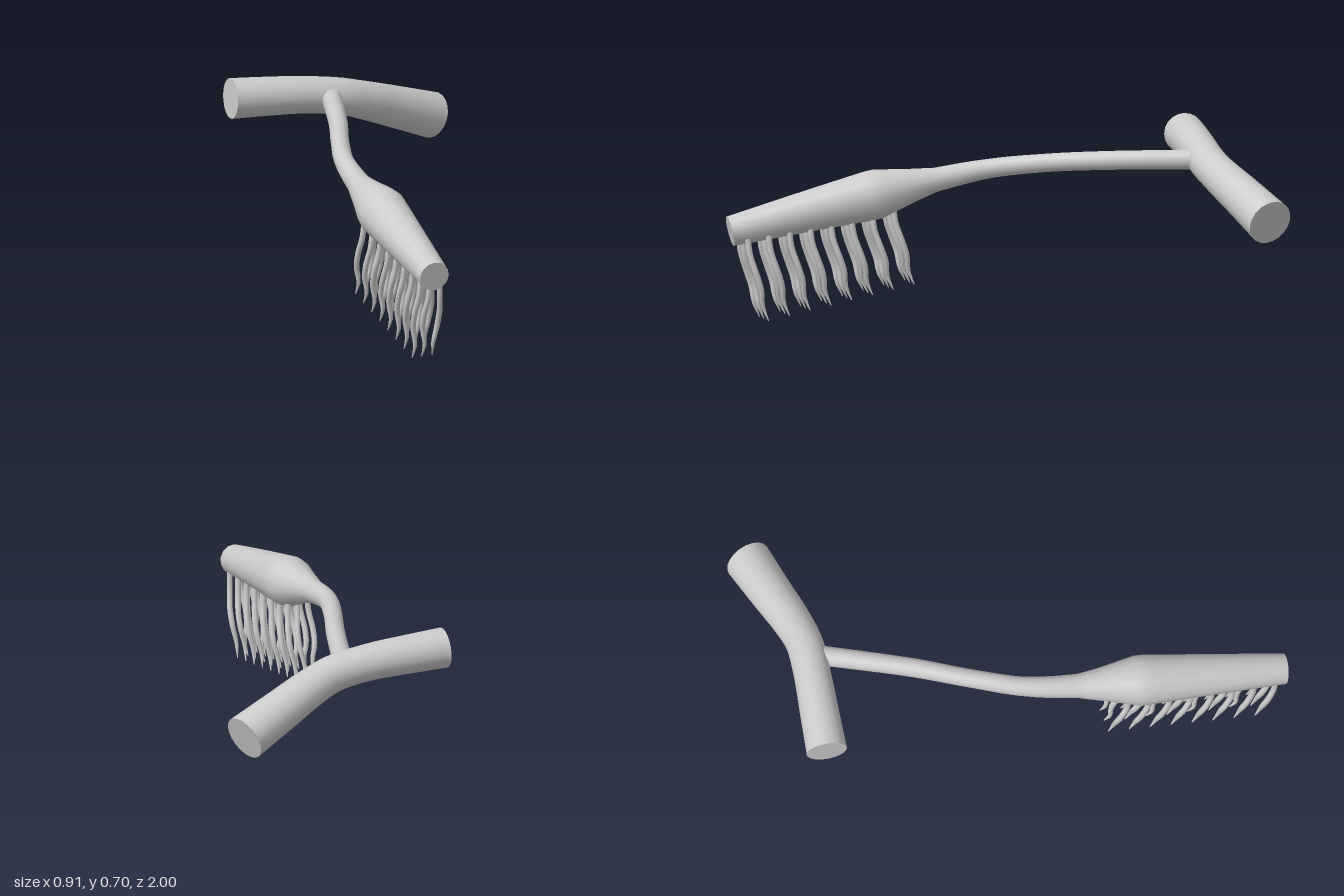
import * as THREE from 'three';
import { mergeVertices } from 'three/addons/utils/BufferGeometryUtils.js';

const grey = new THREE.MeshStandardMaterial({ color: 0xcccccc });
grey.name = 'plainGrey';

const V = (x, y, z) => new THREE.Vector3(x, y, z);

// Tube along a smooth path whose radius follows radiusAt(u, centre), with flat end caps
function taperedTube(name, points, radiusAt, segments, sides) {
  const curve = new THREE.CatmullRomCurve3(points);
  let geo = new THREE.TubeGeometry(curve, segments, 1, sides, false);
  const pos = geo.attributes.position;
  const p = new THREE.Vector3();
  for (let i = 0; i <= segments; i++) {
    const u = i / segments, centre = curve.getPointAt(u), r = radiusAt(u, centre);
    for (let j = 0; j <= sides; j++) {
      const k = i * (sides + 1) + j;
      p.fromBufferAttribute(pos, k).sub(centre).multiplyScalar(r).add(centre);
      pos.setXYZ(k, p.x, p.y, p.z);
    }
  }
  geo.deleteAttribute('normal');
  geo.deleteAttribute('uv');
  geo = mergeVertices(geo, 1e-5);
  geo.computeVertexNormals();

  const part = new THREE.Group();
  part.name = name;
  const body = new THREE.Mesh(geo, grey);
  body.name = name + 'Body';
  part.add(body);
  for (const u of [0, 1]) {
    const centre = curve.getPointAt(u);
    const cap = new THREE.Mesh(new THREE.CircleGeometry(radiusAt(u, centre), sides), grey);
    cap.name = name + 'Cap';
    cap.position.copy(centre);
    cap.lookAt(centre.clone().addScaledVector(curve.getTangentAt(u), u ? 1 : -1));
    part.add(cap);
  }
  return part;
}

// Piecewise linear lookup in [key, value] stops
function lookup(stops, key) {
  if (key <= stops[0][0]) return stops[0][1];
  for (let i = 1; i < stops.length; i++) {
    const [a, va] = stops[i - 1], [b, vb] = stops[i];
    if (key <= b) return THREE.MathUtils.mapLinear(key, a, b, va, vb);
  }
  return stops[stops.length - 1][1];
}

export function createModel() {
  const model = new THREE.Group();
  model.name = 'combTool';

  // Bent crossbar at the back
  model.add(taperedTube('crossbar', [
    V(-0.45, 0.623, -0.783), V(-0.3, 0.618, -0.781), V(-0.15, 0.61, -0.778),
    V(0, 0.588, -0.782), V(0.1, 0.558, -0.807), V(0.25, 0.505, -0.86), V(0.421, 0.443, -0.919),
  ], (u) => lookup([[0, 0.077], [0.35, 0.07], [0.55, 0.071], [1, 0.088]], u), 30, 20));

  // Curved handle swelling into the tapering head
  const radii = [[-0.76, 0.038], [-0.2, 0.035], [0, 0.037], [0.2, 0.046], [0.3, 0.066],
    [0.43, 0.097], [0.987, 0.058]];
  model.add(taperedTube('handleAndHead', [
    V(-0.055, 0.6, -0.75), V(-0.17, 0.588, -0.4), V(-0.245, 0.573, -0.2),
    V(-0.308, 0.548, 0), V(-0.33, 0.51, 0.2), V(-0.334, 0.463, 0.43),
    V(-0.341, 0.406, 0.7), V(-0.348, 0.343, 0.987),
  ], (u, c) => lookup(radii, c.z), 56, 14));

  // Wavy bristles: rows of three along the underside of the head
  const rows = 8;
  const bristles = new THREE.Group();
  bristles.name = 'bristles';
  for (let row = 0; row < rows; row++) {
    for (let col = -1; col <= 1; col++) {
      const z = 0.945 - row * 0.08 - (col + 1) * 0.008;
      const axisY = THREE.MathUtils.mapLinear(z, 0.43, 0.987, 0.463, 0.343);
      const r = lookup(radii, z);
      const y = axisY - Math.sqrt(r * r - 0.0016 * col * col) + 0.012;
      const x = -0.345 + col * 0.042;
      const side = row % 2 ? 1 : -1;
      const height = y - 0.003 - row * 0.0165;
      // [fraction down, sideways wave, backward drift]
      const path = [[0, 0, 0], [0.2, 0.004, -0.008], [0.42, 0.012, -0.03],
        [0.62, 0.01, -0.05], [0.82, -0.002, -0.058], [1, 0.002, -0.08]]
        .map(([f, dx, dz]) => V(x + dx * (col || side), y - f * height, z + dz));
      bristles.add(taperedTube('bristle', path,
        (u) => lookup([[0, 0.0115], [0.55, 0.0115], [0.8, 0.009], [1, 0.002]], u), 12, 8));
    }
  }
  model.add(bristles);
  return model;
}
